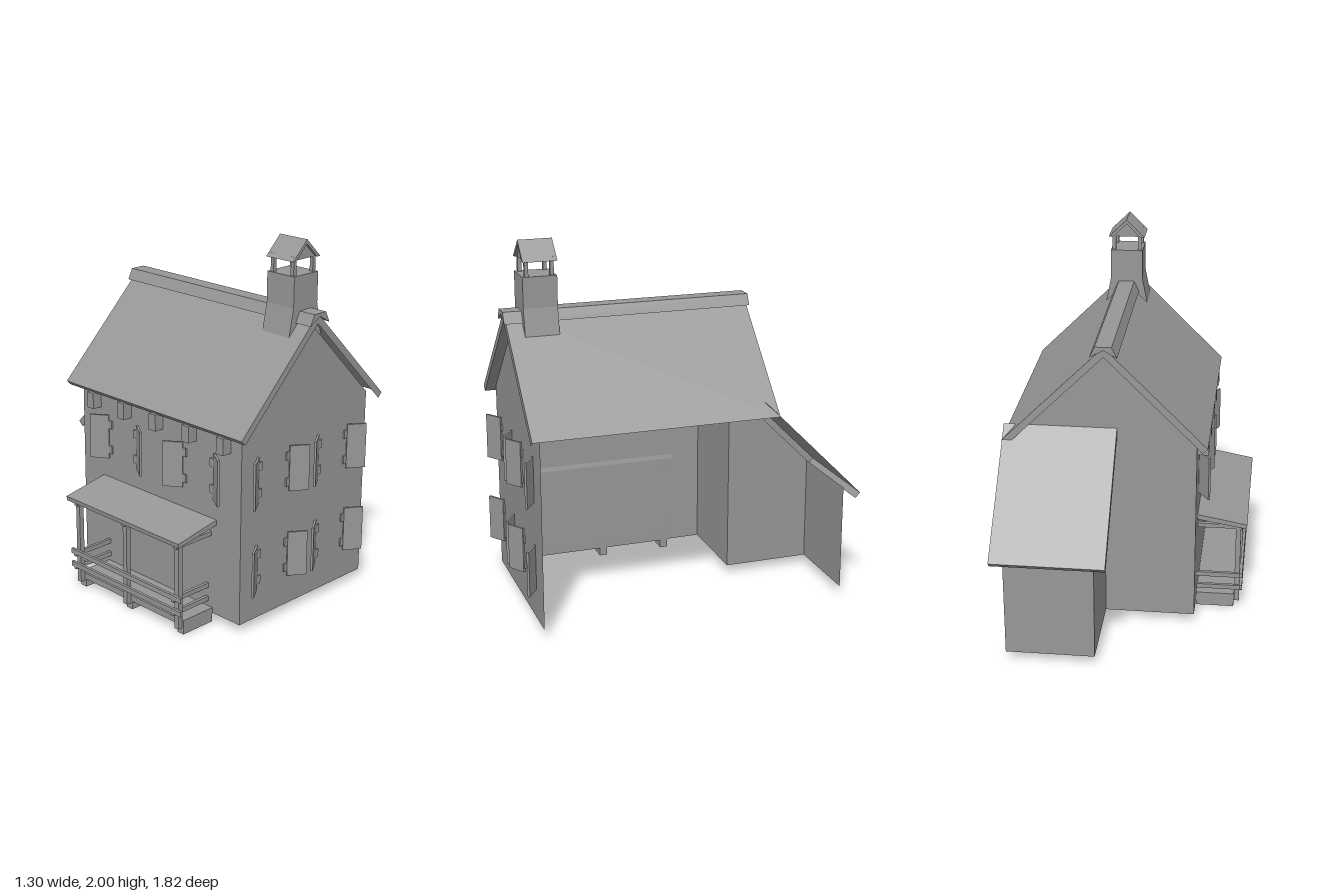
import * as THREE from 'three';

const material = new THREE.MeshStandardMaterial({ color: 0x979797, flatShading: true, side: THREE.DoubleSide });

function add(parent, name, geometry) {
  const mesh = new THREE.Mesh(geometry, material);
  mesh.name = name;
  parent.add(mesh);
  return mesh;
}

const shapeOf = (pts) => new THREE.Shape(pts.map(([a, b]) => new THREE.Vector2(a, b)));

// Box given by its limits on each axis
function box(parent, name, x0, x1, y0, y1, z0, z1) {
  const mesh = add(parent, name, new THREE.BoxGeometry(x1 - x0, y1 - y0, z1 - z0));
  mesh.position.set((x0 + x1) / 2, (y0 + y1) / 2, (z0 + z1) / 2);
}

// Profile in (x, y) carried from z0 to z1
function prismZ(parent, name, pts, z0, z1) {
  const geometry = new THREE.ExtrudeGeometry(shapeOf(pts), { depth: z1 - z0, bevelEnabled: false });
  return add(parent, name, geometry.translate(0, 0, z0));
}

// Flat four-cornered sheet, corners counter-clockwise from its outer side
function sheet(parent, name, corners) {
  const geometry = new THREE.BufferGeometry();
  geometry.setAttribute('position', new THREE.Float32BufferAttribute(corners.flat(), 3));
  geometry.setIndex([0, 1, 2, 0, 2, 3]);
  geometry.computeVertexNormals();
  add(parent, name, geometry);
}

// Thin walls: facing z with (x, y) points, or facing x with (z, y) points
const wallZ = (parent, name, pts, z) =>
  add(parent, name, new THREE.ShapeGeometry(shapeOf(pts)).translate(0, 0, z));
const wallX = (parent, name, pts, x) =>
  add(parent, name, new THREE.ShapeGeometry(shapeOf(pts)).rotateY(-Math.PI / 2).translate(x, 0, 0));

// Half-open shutter, hinged at its origin, with two hinge plates on the wall
function shutter(side) {
  const w = 0.106, h = 0.25, t = 0.012;
  const group = new THREE.Group();
  group.name = 'shutter';
  const pts = [[0, 0], [side * w, 0], [side * w, h], [0, h]];
  prismZ(group, 'shutterPanel', pts, -t, 0).rotation.y = -side * 0.58;
  for (const y of [0.03, h - 0.075]) {
    const x = -side * 0.01;
    box(group, 'hingePlate', x - 0.013, x + 0.013, y, y + 0.045, -0.009, 0);
  }
  return group;
}

// A pair of shutters either side of a window centred on the origin
function shutterPair(halfGap) {
  const pair = new THREE.Group();
  pair.name = 'shutterPair';
  for (const side of [-1, 1]) {
    const leaf = shutter(side);
    leaf.position.x = side * halfGap;
    pair.add(leaf);
  }
  return pair;
}

function buildWalls(house) {
  const walls = new THREE.Group();
  walls.name = 'walls';
  house.add(walls);
  wallZ(walls, 'frontWall', [[-0.38, 0.05], [0.585, 0.05], [0.585, 1.1], [0.103, 1.582], [-0.38, 1.1]], 0.84);
  wallX(walls, 'leftWall', [[-0.36, 0.05], [0.84, 0.05], [0.84, 1.1], [-0.36, 1.1]], -0.38);
  // Back wall is open where the annex joins
  wallZ(walls, 'backWall',
    [[-0.38, 0.05], [0.11, 0.05], [0.11, 1.1], [0.585, 1.1], [0.103, 1.582], [-0.38, 1.1]], -0.36);
  wallX(walls, 'annexSideWall', [[-0.84, 0.05], [-0.36, 0.05], [-0.36, 1.11], [-0.84, 0.63]], 0.11);
  wallZ(walls, 'annexBackWall', [[0.11, 0.05], [0.585, 0.05], [0.585, 0.63], [0.11, 0.63]], -0.84);
}

function buildRoof(house) {
  const roof = new THREE.Group();
  roof.name = 'roof';
  house.add(roof);
  const cx = 0.104, z0 = -0.43, z1 = 0.895;
  const slope = (s) => [[cx, 1.582], [cx + s * 0.518, 1.066], [cx + s * 0.545, 1.092], [cx, 1.635]];
  prismZ(roof, 'leftRoofSlope', slope(-1), z0, z1);
  // Right slope is an open shell with gable boards at both ends
  sheet(roof, 'rightRoofSlope',
    [[cx, 1.635, z1], [cx + 0.545, 1.092, z1], [cx + 0.545, 1.092, z0], [cx, 1.635, z0]]);
  for (const z of [z0, z1]) wallZ(roof, 'gableBoard', slope(1), z);
  prismZ(roof, 'ridgeCap',
    [[0.032, 1.582], [cx, 1.622], [0.176, 1.582], [0.148, 1.64], [0.06, 1.64]], -0.44, 0.908);

  // Annex roof: top, eave board and left edge, open below
  const ax0 = 0.043, ax1 = 0.646;
  sheet(roof, 'annexRoof',
    [[ax0, 1.16, -0.365], [ax1, 1.16, -0.365], [ax1, 0.615, -0.91], [ax0, 0.615, -0.91]]);
  sheet(roof, 'annexEave',
    [[ax0, 0.615, -0.91], [ax1, 0.615, -0.91], [ax1, 0.587, -0.882], [ax0, 0.587, -0.882]]);
  wallX(roof, 'annexRoofEdge', [[-0.365, 1.16], [-0.91, 0.615], [-0.882, 0.587], [-0.365, 1.104]], ax0);

  // Corbels under the left eave
  for (let i = 0; i < 5; i++) {
    const z = -0.24 + i * 0.245;
    box(roof, 'eaveBracket', -0.437, -0.38, 0.98, 1.07, z - 0.025, z + 0.025);
  }
}

function buildChimney(house) {
  const chimney = new THREE.Group();
  chimney.name = 'chimney';
  house.add(chimney);
  const z0 = 0.628, z1 = 0.81, cx = 0.103;
  prismZ(chimney, 'chimneyStack', [
    [cx - 0.122, 1.1], [cx + 0.122, 1.1], [cx + 0.122, 1.5], [cx + 0.09, 1.66],
    [cx + 0.09, 1.823], [cx - 0.09, 1.823], [cx - 0.09, 1.66], [cx - 0.122, 1.5],
  ], z0, z1);
  for (const s of [-1, 1]) {
    for (const z of [0.653, 0.787]) {
      const x = cx + s * 0.072;
      box(chimney, 'capPost', x - 0.01, x + 0.01, 1.82, 1.92, z - 0.01, z + 0.01);
    }
    prismZ(chimney, 'capSlope',
      [[cx, 1.977], [cx + s * 0.078, 1.9], [cx + s * 0.102, 1.9], [cx, 2]], z0, z1);
  }
  prismZ(chimney, 'capGable', [[cx - 0.078, 1.9], [cx + 0.078, 1.9], [cx, 1.977]], z0 + 0.015, z1 - 0.015);
}

function buildShutters(house) {
  for (const y of [0.217, 0.7]) {
    for (const x of [-0.145, 0.313]) {
      const pair = shutterPair(0.115);
      pair.position.set(x, y, 0.85);
      house.add(pair);
    }
  }
  for (const z of [-0.035, 0.54]) {
    const pair = shutterPair(0.11);
    pair.position.set(-0.39, 0.7, z);
    pair.rotation.y = -Math.PI / 2;
    house.add(pair);
  }
}

function buildPorch(house) {
  const porch = new THREE.Group();
  porch.name = 'porch';
  house.add(porch);
  const stations = [-0.147, 0.23, 0.622];
  prismZ(porch, 'porchRoof',
    [[-0.65, 0.513], [-0.374, 0.56], [-0.381, 0.588], [-0.654, 0.538]], -0.2, 0.67);
  box(porch, 'porchFloor', -0.59, -0.38, 0.046, 0.08, -0.17, 0.645);
  for (const z of stations) {
    box(porch, 'porchFoot', -0.59, -0.38, 0, 0.048, z - 0.022, z + 0.022);
    box(porch, 'porchPost', -0.62, -0.592, 0.035, 0.53, z - 0.014, z + 0.014);
    box(porch, 'porchBeam', -0.632, -0.38, 0.49, 0.514, z - 0.012, z + 0.012);
  }
  for (const y of [0.11, 0.187]) {
    for (const z of [stations[0], stations[2]]) {
      box(porch, 'sideRail', -0.635, -0.38, y, y + 0.026, z - 0.024, z - 0.006);
    }
    box(porch, 'frontRail', -0.636, -0.62, y + 0.012, y + 0.04, -0.19, 0.668);
  }
}

export function createModel() {
  const house = new THREE.Group();
  house.name = 'house';
  buildWalls(house);
  buildRoof(house);
  buildChimney(house);
  buildShutters(house);
  buildPorch(house);
  return house;
}
